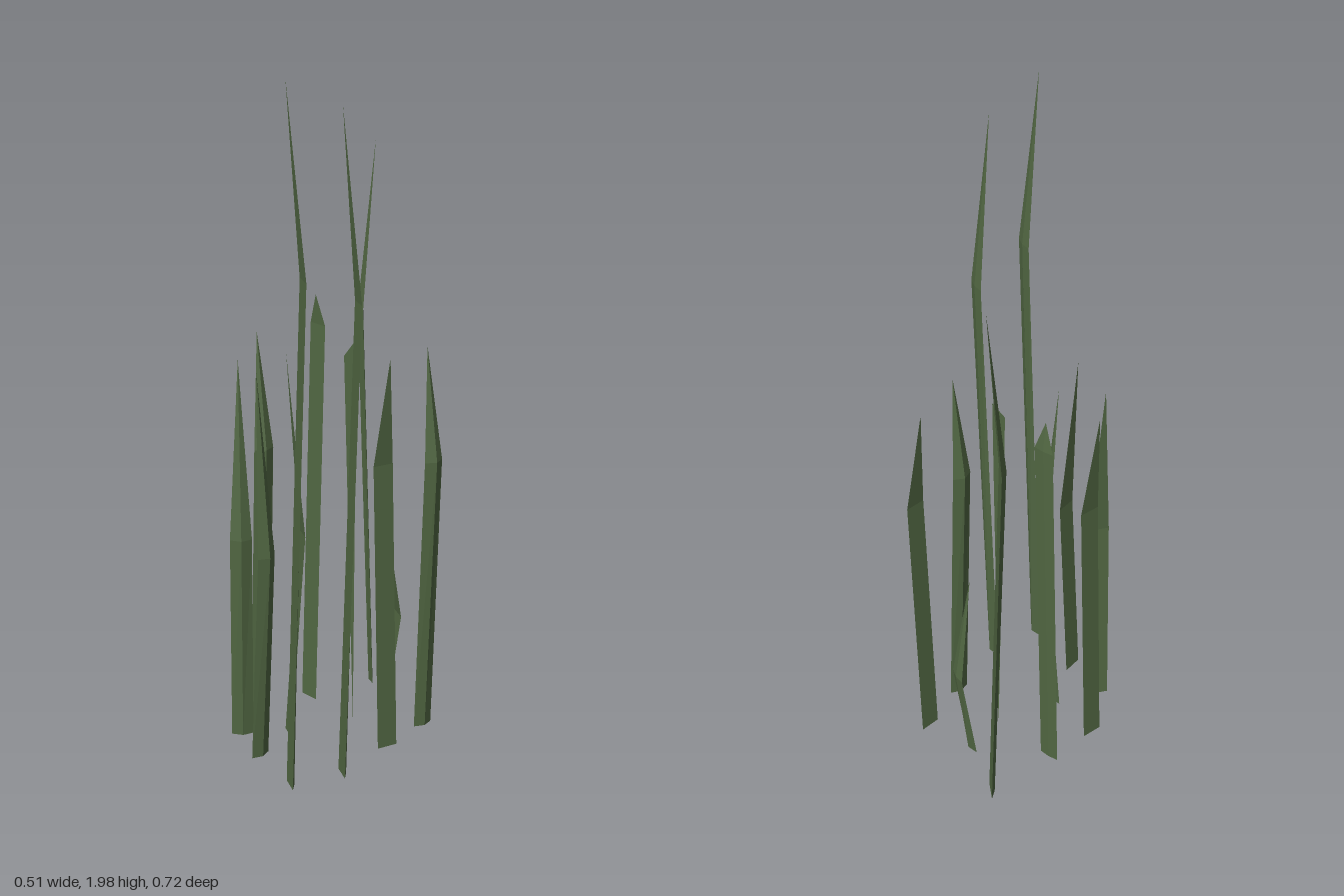
import * as THREE from 'three';

const green = new THREE.MeshStandardMaterial({ color: 0x526843, flatShading: true, side: THREE.DoubleSide });
green.name = 'grassGreen';

// Cross-section styles: how far the shoulder and the tip lean, and how far the ridge stands out
const thin = { lean: 0.044, baseRidge: 0.013, midRidge: 0.005, tipLean: 0 };
const thick = { lean: 0.034, baseRidge: 0.012, midRidge: 0.016, tipLean: 0 };
const upright = { lean: 0.038, baseRidge: 0.003, midRidge: 0.003, tipLean: 0.03 };

// style, base x, base z, lean direction in degrees, height, shoulder height
const blades = [
  [thin, 0.129, 0.343, -56, 1.98, 1.45],
  [thin, 0.198, 0.199, -56, 1.9, 1.37],
  [thin, -0.078, 0.102, -56, 1.16, 0.62],
  [thin, 0.032, -0.203, -56, 0.65, 0.3],
  [upright, -0.186, -0.123, -81, 1.25, 1.16],
  [thick, -0.111, -0.336, 142, 1.68, 1.18],
  [thick, 0.188, -0.19, 14, 1.16, 0.83],
  [thick, 0.196, -0.012, 201, 1.17, 0.85],
  [thick, -0.247, 0.029, 20, 1.17, 0.83],
  [thick, -0.18, 0.187, 45, 1.14, 0.62],
  [thick, -0.053, 0.257, 7, 1.15, 0.62],
];
const halfWidth = 0.031;

function facetedMesh(points, faces, name) {
  const geometry = new THREE.BufferGeometry();
  geometry.setAttribute('position', new THREE.Float32BufferAttribute(points.flat(), 3));
  geometry.setIndex(faces.flat());
  const faceted = geometry.toNonIndexed();
  faceted.computeVertexNormals();
  const mesh = new THREE.Mesh(faceted, green);
  mesh.name = name;
  return mesh;
}

// Three-sided stalk that leans out to its shoulder and bends back to a point
function grassBlade([style, x, z, degrees, height, shoulder], name) {
  const angle = THREE.MathUtils.degToRad(degrees);
  const c = Math.cos(angle), s = Math.sin(angle);
  const at = (out, side, y) => [x + c * out - s * side, y, z + s * out + c * side];
  const triangle = (out, ridge, y) => [at(out, -halfWidth, y), at(out, halfWidth, y), at(out + ridge, 0, y)];
  const points = [
    ...triangle(0, style.baseRidge, 0),
    ...triangle(style.lean, style.midRidge, shoulder),
    at(style.tipLean, 0, height),
  ];
  const faces = [[0, 2, 1]];
  for (let i = 0; i < 3; i++) {
    const j = (i + 1) % 3;
    faces.push([i, j, 3 + j], [i, 3 + j, 3 + i], [3 + i, 3 + j, 6]);
  }
  return facetedMesh(points, faces, name);
}

export function createModel() {
  const group = new THREE.Group();
  group.name = 'grassTuft';
  blades.forEach((blade, i) => group.add(grassBlade(blade, `grassBlade${i + 1}`)));
  // Single sliver that widens towards its top
  const sliver = [[0.008, 0, -0.09], [0.006, 1.13, -0.048], [0.035, 1.18, -0.067]];
  group.add(facetedMesh(sliver, [[0, 1, 2]], 'grassSliver'));
  return group;
}
